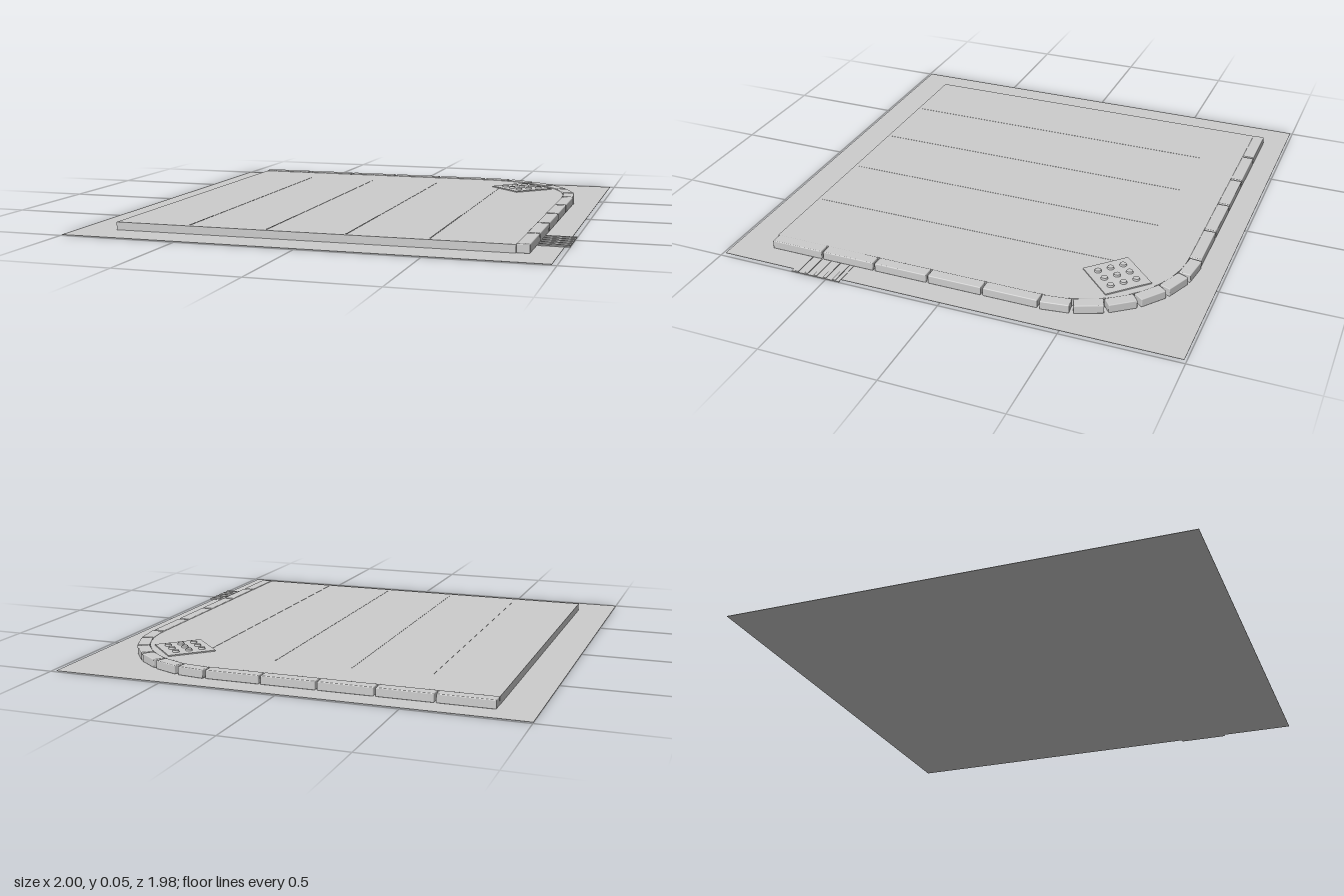
import * as THREE from 'three';
import { RoundedBoxGeometry } from 'three/addons/geometries/RoundedBoxGeometry.js';

export function createModel() {
  const root = new THREE.Group();
  root.name = 'streetCorner';
  const concrete = new THREE.MeshStandardMaterial({ color: 0xcccccc });
  concrete.name = 'concrete grey';

  function add(name, geometry, x, y, z, turn = 0, parent = root) {
    const mesh = new THREE.Mesh(geometry, concrete);
    mesh.name = name;
    mesh.position.set(x, y, z);
    mesh.rotation.y = turn;
    parent.add(mesh);
    return mesh;
  }
  function group(name) {
    const g = new THREE.Group();
    g.name = name;
    root.add(g);
    return g;
  }

  // Thin road sheet
  add('road', new THREE.BoxGeometry(1.98, 0.002, 1.98), -0.01, 0.001, 0);

  // Sidewalk slab, rounded at the +x, -z corner (shape y is -z)
  const cx = 0.355, cz = -0.37, inner = 0.467, slabTop = 0.035;
  const outline = new THREE.Shape();
  outline.moveTo(-0.84, -0.83);
  outline.lineTo(cx + inner, -0.83);
  outline.lineTo(cx + inner, -cz);
  outline.absarc(cx, -cz, inner, 0, Math.PI / 2, false);
  outline.lineTo(-0.84, -cz + inner);
  outline.closePath();
  const slab = new THREE.ExtrudeGeometry(outline, { depth: slabTop - 0.001, bevelEnabled: false, curveSegments: 18 });
  slab.rotateX(-Math.PI / 2);
  add('sidewalkSlab', slab, 0, 0.001, 0);

  // Curb stones: two straight runs joined by a quarter circle
  const curb = group('curb');
  const height = 0.037, width = 0.052, radius = 0.493;
  const longStone = new RoundedBoxGeometry(0.232, height, width, 2, 0.004);
  const shortStone = new RoundedBoxGeometry(0.119, height, width, 2, 0.004);
  const curbY = 0.001 + height / 2;
  for (let i = 0; i < 5; i++) {
    add('backCurbStone', longStone, -0.724 + i * 0.24, curbY, cz - radius, 0, curb);
    add('sideCurbStone', longStone, cx + radius, curbY, -0.252 + i * 0.24, Math.PI / 2, curb);
  }
  for (let i = 0; i < 6; i++) {
    const a = (i + 0.5) * Math.PI / 12;
    add('cornerCurbStone', shortStone,
      cx + radius * Math.cos(a), curbY, cz - radius * Math.sin(a), a + Math.PI / 2, curb);
  }

  // Narrow paving joints
  const joint = new THREE.BoxGeometry(0.005, 0.001, 1.46);
  for (let i = 0; i < 4; i++) add('pavingJoint', joint, -0.52 + i * 0.335, slabTop + 0.0005, 0.08);

  // Tactile pad set diagonally, with a three by three grid of studs
  const pad = group('tactilePad');
  pad.position.set(0.593, slabTop, -0.603);
  pad.rotation.y = Math.PI / 4;
  add('padPlate', new THREE.BoxGeometry(0.205, 0.005, 0.205), 0, 0.0025, 0, 0, pad);
  const stud = new THREE.CylinderGeometry(0.013, 0.015, 0.008, 12);
  for (let i = -1; i <= 1; i++) {
    for (let j = -1; j <= 1; j++) add('padStud', stud, i * 0.057, 0.009, j * 0.057, 0, pad);
  }

  // Storm drain beside the curb
  const drain = group('stormDrain');
  add('drainBase', new THREE.BoxGeometry(0.124, 0.003, 0.22), 0.938, 0.0025, 0.55, 0, drain);
  const bar = new THREE.BoxGeometry(0.12, 0.003, 0.014);
  for (let i = 0; i < 5; i++) add('drainBar', bar, 0.938, 0.0055, 0.464 + i * 0.043, 0, drain);

  return root;
}
